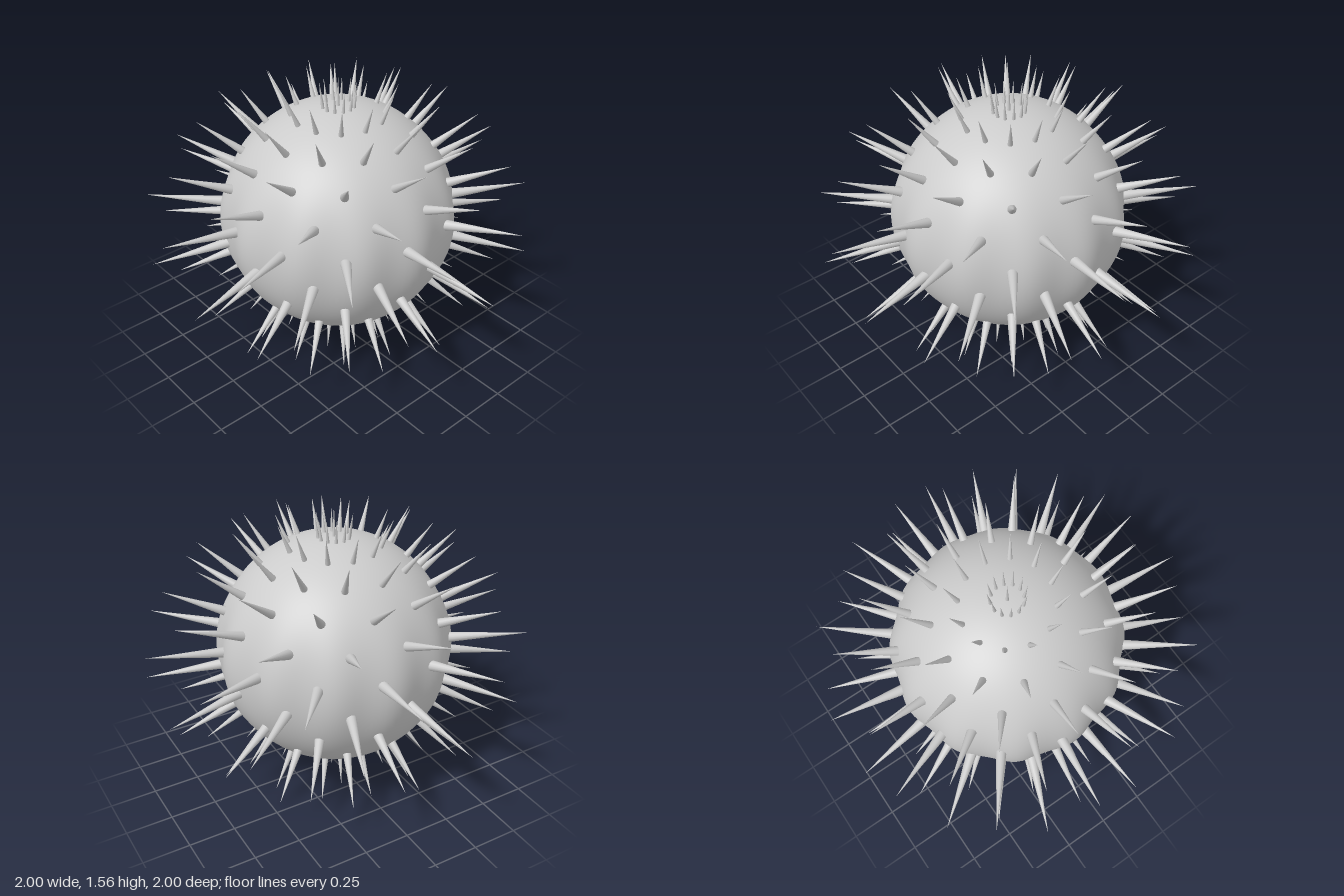
import * as THREE from 'three';
import { mergeVertices } from 'three/addons/utils/BufferGeometryUtils.js';

const CENTRE_Y = 0.78;
const BODY_RADIUS = 0.62;
const PER_RING = 12;
const STEP = Math.PI / 12;

// Round body, softly scalloped into twelve lobes around its equator
function bodyGeometry() {
  let geo = new THREE.SphereGeometry(1, 120, 72);
  geo.deleteAttribute('uv');
  geo.deleteAttribute('normal');
  geo = mergeVertices(geo, 1e-4);
  const pos = geo.attributes.position;
  const v = new THREE.Vector3();
  for (let i = 0; i < pos.count; i++) {
    v.fromBufferAttribute(pos, i).normalize();
    const angle = Math.atan2(v.z, v.x);
    const fade = Math.pow(1 - v.y * v.y, 5);
    v.multiplyScalar(BODY_RADIUS + 0.011 * Math.cos(PER_RING * angle) * fade);
    pos.setXYZ(i, v.x, v.y, v.z);
  }
  geo.computeVertexNormals();
  return geo;
}

export function createModel() {
  const model = new THREE.Group();
  model.name = 'spinyUrchin';
  const mat = new THREE.MeshStandardMaterial({ color: 0xcccccc });

  const urchin = new THREE.Group();
  urchin.name = 'urchin';
  urchin.position.y = CENTRE_Y;
  model.add(urchin);

  const body = new THREE.Mesh(bodyGeometry(), mat);
  body.name = 'body';
  urchin.add(body);

  // Unit cone with its base at the origin, pointing up
  const cone = new THREE.ConeGeometry(1, 1, 14, 1).translate(0, 0.5, 0);
  const up = new THREE.Vector3(0, 1, 0);

  // A spine runs outward from just under the skin to the given reach
  function addSpine(parent, name, dir, reach, radius) {
    const root = BODY_RADIUS - 0.03;
    const spine = new THREE.Mesh(cone, mat);
    spine.name = name;
    spine.position.copy(dir).multiplyScalar(root);
    spine.quaternion.setFromUnitVectors(up, dir);
    spine.scale.set(radius, reach - root, radius);
    parent.add(spine);
  }

  // Reach and thickness of the rings, from the pole to the equator
  const reaches = [0.745, 0.785, 0.84, 0.905, 0.955, 1.017];
  const radii = [0.011, 0.016, 0.02, 0.024, 0.027, 0.029];

  // Twelve staggered rings of spines from top to bottom
  for (let ring = 0; ring < 12; ring++) {
    const group = new THREE.Group();
    group.name = 'spineRing' + (ring + 1);
    const lat = (5.5 - ring) * STEP;
    const size = Math.min(ring, 11 - ring);
    for (let k = 0; k < PER_RING; k++) {
      const angle = (ring % 2 ? 6.5 : 5.5) * STEP + k * 2 * STEP;
      const dir = new THREE.Vector3(
        Math.cos(lat) * Math.cos(angle), Math.sin(lat), Math.cos(lat) * Math.sin(angle));
      addSpine(group, 'spine', dir, reaches[size], radii[size]);
    }
    urchin.add(group);
  }

  // One thin spine at each pole
  addSpine(urchin, 'topSpine', new THREE.Vector3(0, 1, 0), CENTRE_Y, 0.01);
  addSpine(urchin, 'bottomSpine', new THREE.Vector3(0, -1, 0), CENTRE_Y, 0.01);

  return model;
}
